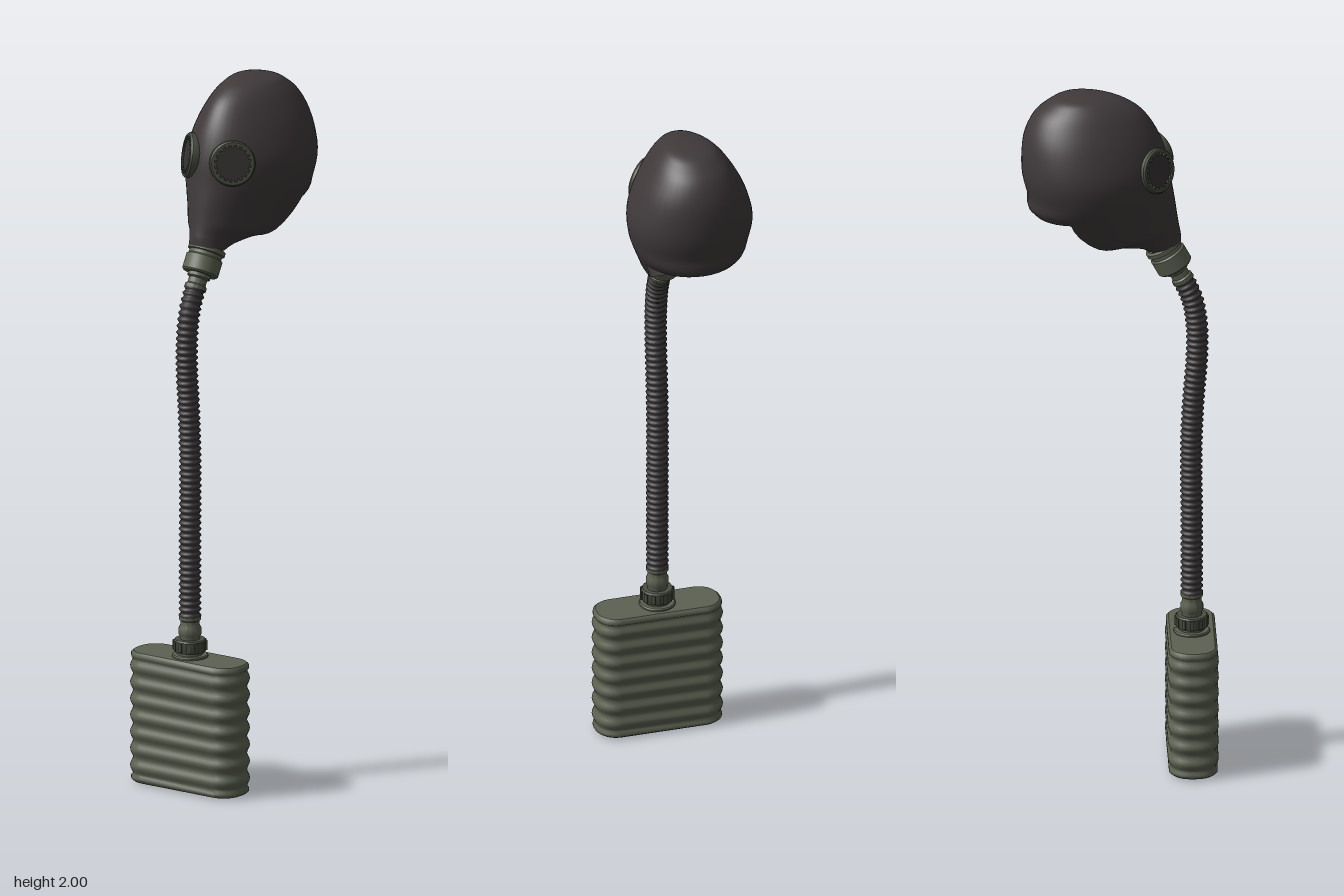
import * as THREE from 'three';
import { toCreasedNormals } from 'three/addons/utils/BufferGeometryUtils.js';

const mat = (name, color, side = THREE.FrontSide) => {
  const m = new THREE.MeshStandardMaterial({ color, side });
  m.name = name;
  return m;
};

// Skin over closed rings, given from bottom to top, each counter-clockwise from above
function loft(rings, skip = () => false) {
  const n = rings[0].length, index = [];
  for (let i = 0; i < rings.length - 1; i++) {
    for (let j = 0; j < n; j++) {
      if (skip(i, j)) continue;
      const k = (j + 1) % n, a = i * n, b = a + n;
      index.push(a + j, a + k, b + j, a + k, b + k, b + j);
    }
  }
  const g = new THREE.BufferGeometry().setFromPoints(rings.flat());
  g.setIndex(index);
  g.computeVertexNormals();
  return g;
}

function lathe(points, segments = 28) {
  const g = new THREE.LatheGeometry(points.map(p => new THREE.Vector2(p[0], p[1])), segments);
  return toCreasedNormals(g, 0.6);
}

// Rounded rectangle outline, counter-clockwise in x, y
function outline(hx, hy, r, steps = 6) {
  const pts = [];
  [[1, 1], [-1, 1], [-1, -1], [1, -1]].forEach(([sx, sy], q) => {
    for (let i = 0; i <= steps; i++) {
      const a = (q + i / steps) * Math.PI / 2;
      pts.push(new THREE.Vector2(sx * (hx - r) + r * Math.cos(a), sy * (hy - r) + r * Math.sin(a)));
    }
  });
  return pts;
}

export function createModel() {
  const model = new THREE.Group();
  const rubber = mat('mask rubber', 0x3f393a, THREE.DoubleSide);
  const hoseRubber = mat('hose rubber', 0x373334);
  const olive = mat('olive paint', 0x5d6252, THREE.DoubleSide);
  const rimMetal = mat('dark olive metal', 0x4a4e42);
  const glass = mat('dark glass', 0x363233);
  const add = (name, geo, material, parent = model) => {
    const m = new THREE.Mesh(geo, material);
    m.name = name;
    parent.add(m);
    return m;
  };

  // Hood: rows from crown to muzzle: front z, y, back z, y, half width, flatness of the rear
  const rows = [
    [-0.09, 2.0, -0.09, 2.0, 0, 0],
    [-0.02, 1.993, -0.16, 1.992, 0.055, 0],
    [0.03, 1.975, -0.2, 1.972, 0.082, 0],
    [0.075, 1.94, -0.24, 1.935, 0.11, 0],
    [0.115, 1.875, -0.266, 1.87, 0.145, 0],
    [0.14, 1.8, -0.27, 1.78, 0.17, 0],
    [0.15, 1.73, -0.255, 1.71, 0.164, 0],
    [0.158, 1.68, -0.235, 1.65, 0.145, 0],
    [0.165, 1.63, -0.06, 1.572, 0.11, 1],
    [0.17, 1.6, 0, 1.56, 0.078, 0.8],
    [0.174, 1.58, 0.05, 1.546, 0.058, 0.4],
    [0.175, 1.56, 0.08, 1.53, 0.05, 0],
  ];
  const spline = pick => new THREE.CatmullRomCurve3(rows.map(pick), false, 'catmullrom', 0.5);
  const front = spline(r => new THREE.Vector3(r[4], r[1], r[0]));
  const back = spline(r => new THREE.Vector3(r[5], r[3], r[2]));
  const sub = 4, last = (rows.length - 1) * sub, cols = 48;
  const hood = [];
  for (let i = last; i >= 0; i--) {
    const F = front.getPoint(i / last), B = back.getPoint(i / last);
    const flat = THREE.MathUtils.clamp(B.x, 0, 1);
    const egg = 0.2 * Math.min(1, (last - i) / (4 * sub));
    const ring = [];
    for (let j = 0; j < cols; j++) {
      const t = j / cols * Math.PI * 2, c = Math.cos(t);
      const u = THREE.MathUtils.lerp((c + 1) / 2, Math.max(0, (c + 0.5) / 1.5), flat);
      ring.push(new THREE.Vector3(F.x * Math.sin(t) * (1 - egg * c),
        THREE.MathUtils.lerp(B.y, F.y, u), THREE.MathUtils.lerp(B.z, F.z, u)));
    }
    hood.push(ring);
  }
  // Neck opening at the rear underside
  const neckHole = (i, j) => {
    const row = last - 1 - i;
    return row >= 7 * sub && row < 8 * sub && j >= cols / 3 && j < cols * 2 / 3;
  };
  add('hood', loft(hood, neckHole), rubber);

  // Eyepieces with toothed rims
  for (const s of [1, -1]) {
    const eye = new THREE.Group();
    eye.name = s > 0 ? 'leftEyepiece' : 'rightEyepiece';
    eye.position.set(s * 0.075, 1.795, 0.107);
    eye.lookAt(s * 0.075 + s * 0.68, 1.795 + 0.16, 0.107 + 0.72);
    model.add(eye);
    const rim = lathe([[0.058, -0.03], [0.064, -0.02], [0.064, 0.004], [0.06, 0.009], [0.052, 0.009], [0.052, 0]], 32);
    add('rim', rim.rotateX(Math.PI / 2), rimMetal, eye);
    add('lens', new THREE.CircleGeometry(0.054, 32), glass, eye).position.z = 0.004;
    for (let i = 0; i < 20; i++) {
      const a = i / 20 * Math.PI * 2;
      const tooth = add('rimTooth', new THREE.BoxGeometry(0.009, 0.008, 0.005), rimMetal, eye);
      tooth.position.set(0.05 * Math.cos(a), 0.05 * Math.sin(a), 0.0075);
      tooth.rotation.z = a;
    }
  }

  // Muzzle coupling, tilted along the snout
  const coupling = new THREE.Group();
  coupling.name = 'muzzleCoupling';
  coupling.position.set(0, 1.475, 0.16);
  coupling.rotation.x = -0.507;
  model.add(coupling);
  add('couplingRing', lathe([[0.028, 0], [0.047, 0], [0.052, 0.005], [0.052, 0.048], [0.047, 0.052],
    [0.047, 0.062], [0.053, 0.064], [0.053, 0.076], [0.045, 0.08]]), olive, coupling);
  add('couplingNeck', lathe([[0.022, -0.048], [0.031, -0.046], [0.031, -0.034], [0.026, -0.03],
    [0.026, -0.014], [0.033, -0.01], [0.033, 0.002]]), olive, coupling);

  // Corrugated hose
  const path = new THREE.CatmullRomCurve3([[0.49, 0.205], [0.7, 0.205], [0.95, 0.204], [1.1, 0.211], [1.2, 0.219],
    [1.3, 0.219], [1.38, 0.206], [1.445, 0.178]].map(([y, z]) => new THREE.Vector3(0, y, z)));
  const ribs = 54, steps = ribs * 4, sides = 18;
  const hose = new THREE.TubeGeometry(path, steps, 1, sides);
  const pos = hose.attributes.position, v = new THREE.Vector3();
  for (let i = 0; i <= steps; i++) {
    const c = path.getPointAt(i / steps);
    const r = 0.0285 - 0.0035 * Math.cos(i / 4 * Math.PI * 2);
    for (let j = 0; j <= sides; j++) {
      const k = i * (sides + 1) + j;
      v.fromBufferAttribute(pos, k).sub(c).multiplyScalar(r).add(c);
      pos.setXYZ(k, v.x, v.y, v.z);
    }
  }
  hose.computeVertexNormals();
  add('hose', hose, hoseRubber);

  // Filter canister with rounded ridges
  const canister = new THREE.Group();
  canister.name = 'filterCanister';
  canister.position.z = 0.205;
  model.add(canister);
  const section = (y, d) => outline(0.178 + d, 0.063 + d, 0.054 + d).map(p => new THREE.Vector3(p.x, y, -p.y));
  const walls = [section(0.004, -0.003), section(0.01, 0.005), section(0.018, 0.005)];
  const ridges = 7, parts = 8;
  for (let i = 0; i <= ridges * parts; i++) {
    const bump = Math.pow(Math.sin(i / parts * Math.PI), 2);
    walls.push(section(0.024 + 0.336 * i / (ridges * parts), 0.008 * bump));
  }
  walls.push(section(0.364, 0.005), section(0.374, 0.005), section(0.38, -0.002));
  add('canisterWall', loft(walls), olive, canister);
  const lid = new THREE.ShapeGeometry(new THREE.Shape(outline(0.176, 0.061, 0.052)));
  add('canisterTop', lid.rotateX(-Math.PI / 2), olive, canister).position.y = 0.38;
  const floor = new THREE.Shape(outline(0.175, 0.06, 0.051));
  floor.holes.push(new THREE.Path().absarc(0, 0, 0.03, 0, Math.PI * 2, true));
  add('canisterBottom', new THREE.ShapeGeometry(floor, 20).rotateX(Math.PI / 2), olive, canister).position.y = 0.004;
  add('inletRing', lathe([[0.03, 0.02], [0.03, 0], [0.038, 0], [0.04, 0.005]]), rimMetal, canister);
  add('inletPlug', new THREE.CircleGeometry(0.031, 24).rotateX(Math.PI / 2), olive, canister).position.y = 0.012;

  // Outlet with lugged nut and hose neck
  add('outletFlange', lathe([[0.051, 0.379], [0.051, 0.384], [0.048, 0.387], [0.036, 0.387], [0.036, 0.4]]), olive, canister);
  add('outletNut', lathe([[0.03, 0.395], [0.043, 0.395], [0.045, 0.399], [0.045, 0.427], [0.042, 0.431], [0.028, 0.431]]), rimMetal, canister);
  for (let i = 0; i < 12; i++) {
    const a = i / 12 * Math.PI * 2;
    const lug = add('nutLug', new THREE.BoxGeometry(0.006, 0.026, 0.01), rimMetal, canister);
    lug.position.set(0.0455 * Math.cos(a), 0.413, -0.0455 * Math.sin(a));
    lug.rotation.y = a;
  }
  add('outletNeck', lathe([[0.028, 0.43], [0.028, 0.438], [0.032, 0.445], [0.032, 0.462], [0.027, 0.472],
    [0.027, 0.484], [0.031, 0.487], [0.031, 0.497], [0.024, 0.5]]), olive, canister);

  return model;
}
